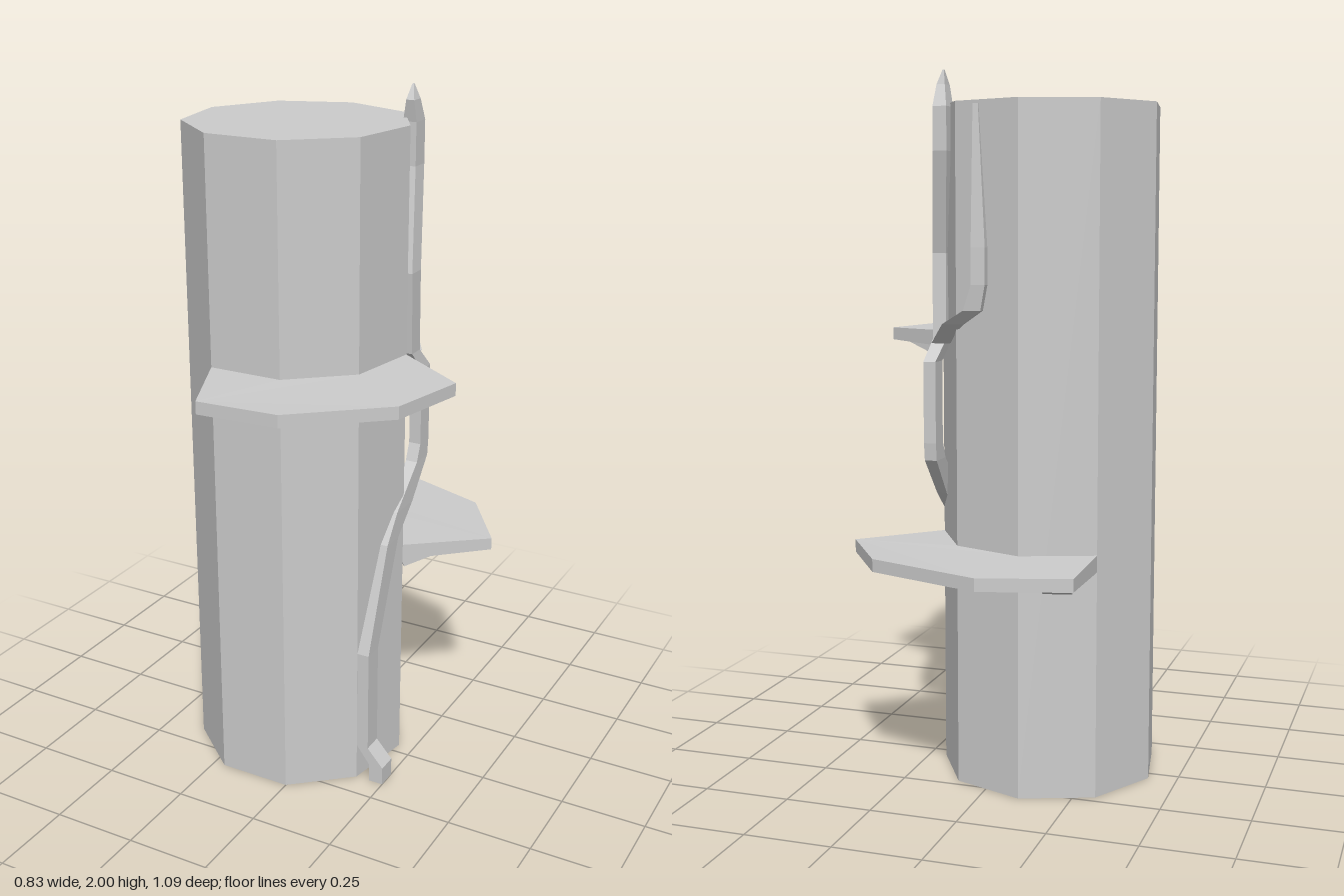
import * as THREE from 'three';

const CX = -0.108, CZ = 0.018, R = 0.315, SIDES = 9;

function addMesh(parent, name, geometry) {
  const material = new THREE.MeshStandardMaterial({ color: 0xcccccc, flatShading: true });
  const mesh = new THREE.Mesh(geometry, material);
  mesh.name = name;
  parent.add(mesh);
  return mesh;
}

// Corner k of the trunk, counted from the back corner.
function trunkCorner(k) {
  const a = Math.PI + (k * Math.PI * 2) / SIDES;
  return [CX + R * Math.sin(a), CZ + R * Math.cos(a)];
}

// Flat bracket: outer rim points plus trunk corners, thicker where it meets the bark.
function shelfGeometry(rim, corners) {
  const outline = [...rim, ...corners.map(trunkCorner)];
  const shape = new THREE.Shape(outline.map(([x, z]) => new THREE.Vector2(x, -z)));
  const geo = new THREE.ExtrudeGeometry(shape, { depth: 0.036, bevelEnabled: false });
  geo.translate(0, 0, -0.018).rotateX(-Math.PI / 2);
  const p = geo.attributes.position;
  for (let i = 0; i < p.count; i++) {
    if (Math.hypot(p.getX(i) - CX, p.getZ(i) - CZ) < R + 0.01) p.setY(i, p.getY(i) * 1.3);
  }
  geo.computeVertexNormals();
  return geo;
}

// Slanted plank from the bark up to the underside of a shelf.
function addBrace(parent, from, to) {
  const a = new THREE.Vector3(...from), b = new THREE.Vector3(...to);
  const brace = addMesh(parent, 'brace', new THREE.BoxGeometry(0.08, 0.03, a.distanceTo(b)));
  brace.position.copy(a).lerp(b, 0.5);
  brace.lookAt(b);
}

// Stem lofted through level rectangles: [y, centre x, centre z, size x, size z].
function stemGeometry(sections) {
  const pos = [], index = [];
  for (const [y, x, z, w, d] of sections) {
    for (const [sx, sz] of [[-1, 1], [1, 1], [1, -1], [-1, -1]]) {
      pos.push(x + (sx * w) / 2, y, z + (sz * d) / 2);
    }
  }
  const last = (sections.length - 1) * 4;
  for (let r = 0; r < last; r += 4) {
    for (let i = 0; i < 4; i++) {
      const a = r + i, b = r + ((i + 1) % 4);
      index.push(a, b, b + 4, a, b + 4, a + 4);
    }
  }
  index.push(0, 2, 1, 0, 3, 2, last, last + 1, last + 2, last, last + 2, last + 3);
  const geo = new THREE.BufferGeometry();
  geo.setAttribute('position', new THREE.Float32BufferAttribute(pos, 3));
  geo.setIndex(index);
  const flat = geo.toNonIndexed();
  flat.computeVertexNormals();
  return flat;
}

export function createModel() {
  const model = new THREE.Group();
  model.name = 'trunkWithShelvesAndVine';

  // Nine-sided trunk with a corner at the back
  const trunk = addMesh(model, 'trunk', new THREE.CylinderGeometry(R, R, 1.91, SIDES, 1, false, Math.PI));
  trunk.position.set(CX, 0.955, CZ);

  // Shelf fungi with their braces
  const shelves = [
    {
      name: 'upperFrontShelf', y: 1.253, corners: [4, 5, 6, 7],
      rim: [[0.415, 0.1], [0.36, 0.33], [0.12, 0.53], [-0.115, 0.545]],
      braces: [
        [[-0.1, 1.18, 0.31], [-0.045, 1.242, 0.5]],
        [[0.18, 1.18, 0.088], [0.35, 1.242, 0.15]],
      ],
    },
    {
      name: 'lowerBackShelf', y: 0.665, corners: [1, 0, 8, 7],
      rim: [[0.41, -0.212], [0.265, -0.427], [-0.07, -0.547], [-0.315, -0.477]],
      braces: [
        [[0.147, 0.597, -0.13], [0.285, 0.655, -0.245]],
        [[-0.21, 0.597, -0.26], [-0.25, 0.655, -0.43]],
      ],
    },
  ];
  for (const { name, y, corners, rim, braces } of shelves) {
    const group = new THREE.Group();
    group.name = name;
    addMesh(group, 'shelf', shelfGeometry(rim, corners)).position.y = y;
    for (const [from, to] of braces) addBrace(group, from, to);
    model.add(group);
  }

  // Vine climbing the left side, kicked out at the foot and pointed at the tip
  addMesh(model, 'vine', stemGeometry([
    [0, 0.228, 0.145, 0.044, 0.06],
    [0.055, 0.228, 0.145, 0.044, 0.06],
    [0.11, 0.183, 0.145, 0.036, 0.06],
    [0.42, 0.183, 0.145, 0.036, 0.06],
    [0.73, 0.19, 0.035, 0.03, 0.07],
    [0.81, 0.19, -0.04, 0.03, 0.1],
    [0.92, 0.185, -0.155, 0.036, 0.07],
    [0.97, 0.185, -0.168, 0.036, 0.055],
    [1.2, 0.185, -0.168, 0.036, 0.055],
    [1.26, 0.175, -0.115, 0.04, 0.05],
    [1.5, 0.182, -0.093, 0.04, 0.055],
    [1.78, 0.15, -0.168, 0.04, 0.055],
    [1.9, 0.15, -0.168, 0.04, 0.055],
    [1.96, 0.156, -0.148, 0.024, 0.04],
    [2, 0.152, -0.155, 0.004, 0.006],
  ]));

  // Side shoot bending round to the back
  addMesh(model, 'vineBranch', stemGeometry([
    [1.25, 0.165, -0.14, 0.05, 0.05],
    [1.31, 0.098, -0.222, 0.06, 0.045],
    [1.35, 0.03, -0.258, 0.05, 0.04],
    [1.42, 0.01, -0.267, 0.04, 0.036],
    [1.52, 0.01, -0.266, 0.04, 0.034],
    [1.9, 0.025, -0.25, 0.015, 0.012],
  ]));

  return model;
}
